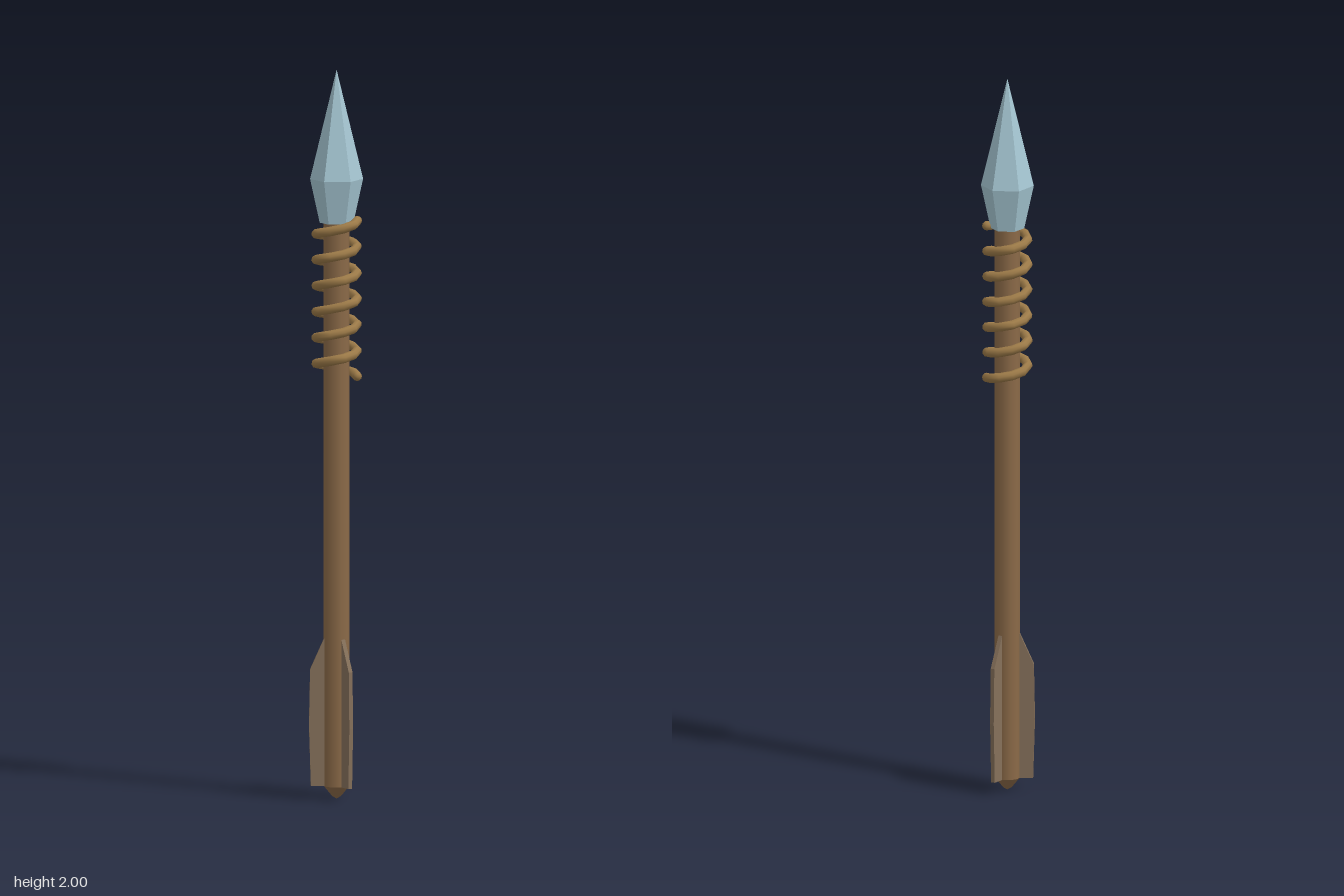
import * as THREE from 'three';

const material = (color, extra = {}) => new THREE.MeshStandardMaterial({ color, ...extra });

function addMesh(parent, name, geometry, mat) {
  const mesh = new THREE.Mesh(geometry, mat);
  mesh.name = name;
  parent.add(mesh);
  return mesh;
}

// Turned solid; its first corner lies on the +x axis.
function turned(points, sides) {
  return new THREE.LatheGeometry(points.map(([r, y]) => new THREE.Vector2(r, y)), sides, Math.PI / 2);
}

export function createModel() {
  const model = new THREE.Group();
  model.name = 'arrow';
  const body = new THREE.Group();
  body.name = 'arrowBody';
  body.position.x = 0.002;
  model.add(body);

  // Wooden shaft with a blunt pointed end
  const wood = material(0x8b6a48);
  addMesh(body, 'shaft', turned([[0.035, 0.035], [0.035, 1.62]], 10), wood);
  addMesh(body, 'shaftEnd', turned([[0, 0], [0.012, 0.007], [0.035, 0.035]], 10), wood);

  // Six-sided faceted point
  const head = turned([[0, 1.58], [0.046, 1.58], [0.072, 1.7], [0, 2]], 6);
  addMesh(body, 'arrowhead', head, material(0xa5c6d2, { flatShading: true }));

  // Cord wound six times round the shaft, ten straight steps per turn
  const turns = 6, steps = 10, cordRadius = 0.013, coilRadius = 0.056;
  const cordPath = new THREE.CurvePath();
  const cordPoint = (i) => {
    const a = (i / steps) * Math.PI * 2;
    return new THREE.Vector3(
      coilRadius * Math.cos(a),
      1.158 + (0.427 * i) / (turns * steps),
      -coilRadius * Math.sin(a)
    );
  };
  for (let i = 0; i < turns * steps; i++) {
    cordPath.add(new THREE.LineCurve3(cordPoint(i), cordPoint(i + 1)));
  }
  const cordMaterial = material(0x9c7a48);
  addMesh(body, 'cordBinding', new THREE.TubeGeometry(cordPath, turns * steps, cordRadius, 8), cordMaterial);
  for (const i of [0, turns * steps]) {
    const end = addMesh(body, 'cordEnd', new THREE.SphereGeometry(cordRadius, 8, 6), cordMaterial);
    end.position.copy(cordPoint(i));
  }

  // Three thin fins, evenly spaced
  const thickness = 0.012;
  const outline = [[0.02, 0.035], [0.07, 0.035], [0.075, 0.2], [0.072, 0.355], [0.034, 0.44], [0.02, 0.44]];
  const finShape = new THREE.Shape(outline.map(([x, y]) => new THREE.Vector2(x, y)));
  const finGeometry = new THREE.ExtrudeGeometry(finShape, { depth: thickness, bevelEnabled: false });
  finGeometry.translate(0, 0, -thickness / 2);
  const finMaterial = material(0x85705a);
  for (let i = 0; i < 3; i++) {
    const fin = addMesh(body, 'fin', finGeometry, finMaterial);
    fin.rotation.y = Math.PI + (i * Math.PI * 2) / 3;
  }

  return model;
}
